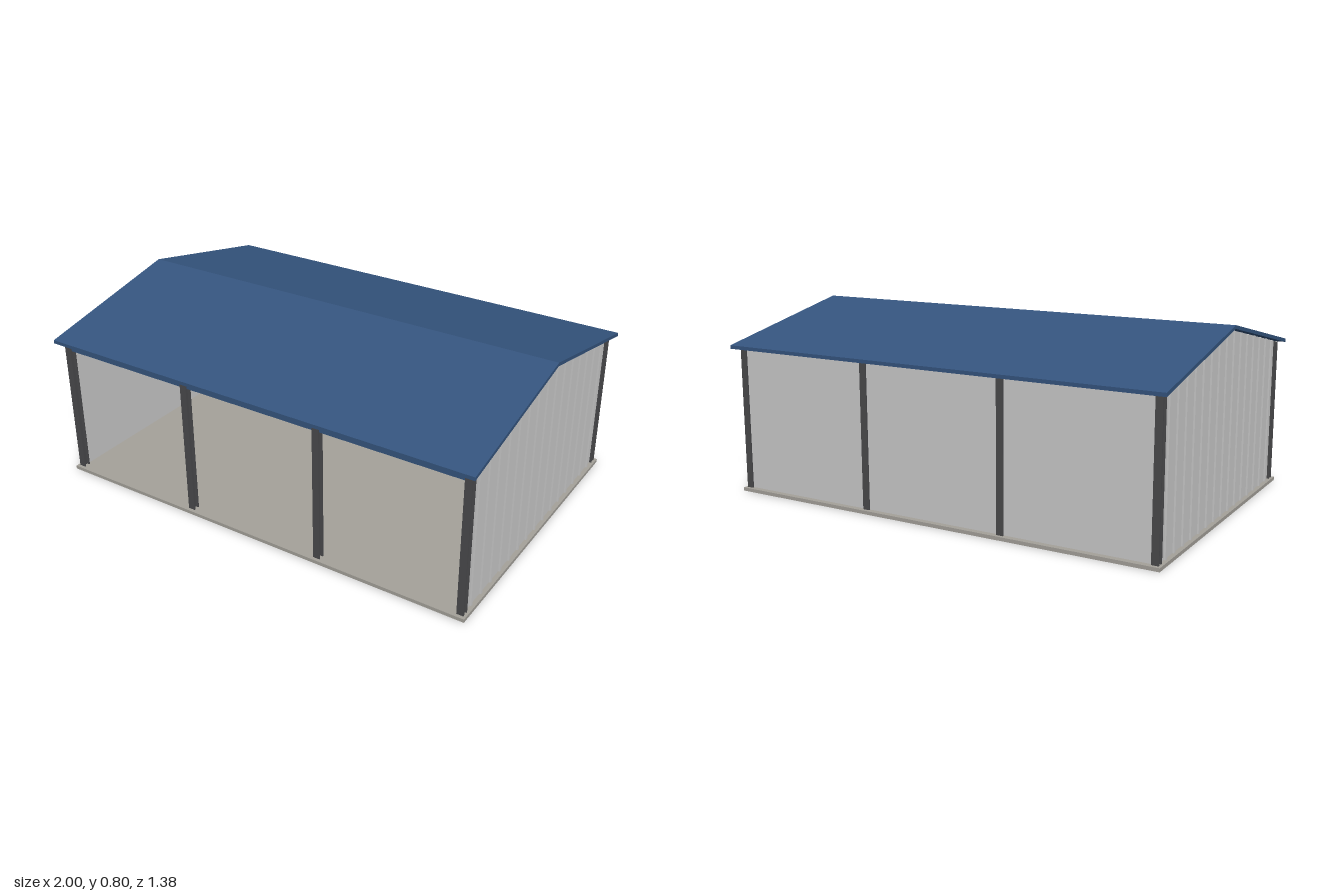
import * as THREE from 'three';

const mat = (color) => new THREE.MeshStandardMaterial({ color });
const grey = mat(0xcccccc), steel = mat(0x4a4a4c), blue = mat(0x35557f);
const concrete = mat(0xa5a29b), rust = mat(0x8a4030);

const FLOOR = 0.015, RIDGE = 0.78, EAVE = 0.635, ROOF_Z = 0.69, ROOF_T = 0.015;
// Height of the underside of the roof at a given depth
const roofY = (z) => RIDGE - (RIDGE - EAVE) * Math.abs(z) / ROOF_Z;

export function createModel() {
  const model = new THREE.Group();

  const add = (name, geometry, material, x, y, z, parent = model) => {
    const mesh = new THREE.Mesh(geometry, material);
    mesh.name = name;
    mesh.position.set(x, y, z);
    parent.add(mesh);
    return mesh;
  };
  const box = (name, w, h, d, material, x, y, z, parent) =>
    add(name, new THREE.BoxGeometry(w, h, d), material, x, y, z, parent);

  // Extrudes a (z, y) outline along x, centred on x = 0
  const extrudeX = (points, width) => {
    const shape = new THREE.Shape(points.map(([z, y]) => new THREE.Vector2(-z, y)));
    const geo = new THREE.ExtrudeGeometry(shape, { depth: width, bevelEnabled: false });
    return geo.translate(0, 0, -width / 2).rotateY(Math.PI / 2);
  };

  // Floor slab
  box('floorSlab', 1.97, FLOOR, 1.34, concrete, 0, FLOOR / 2, 0);

  // Pitched roof
  add('roof', extrudeX([
    [-ROOF_Z, EAVE], [0, RIDGE], [ROOF_Z, EAVE],
    [ROOF_Z, EAVE + ROOF_T], [0, RIDGE + ROOF_T], [-ROOF_Z, EAVE + ROOF_T],
  ], 2), blue, 0, 0, 0);

  // H-section columns along the front and the back
  const colH = 0.64 - FLOOR, colY = FLOOR + colH / 2;
  for (const z of [-0.64, 0.64]) {
    for (const x of [-0.96, -0.32, 0.32, 0.96]) {
      const column = new THREE.Group();
      column.name = z > 0 ? 'frontColumn' : 'backColumn';
      column.position.set(x, colY, z);
      for (const s of [-1, 1]) box('flange', 0.03, colH, 0.006, steel, 0, 0, s * 0.012, column);
      box('web', 0.008, colH, 0.02, steel, 0, 0, 0, column);
      model.add(column);
    }
  }

  // Beam over the open front
  box('frontBeam', 1.89, 0.04, 0.014, blue, 0, 0.615, 0.64);

  // Back wall
  box('backWall', 1.92, 0.625, 0.01, grey, 0, FLOOR + 0.3125, -0.64);

  // Gable walls with upright ribs
  const wallZ = 0.626, gap = 0.002;
  const gable = extrudeX([
    [-wallZ, FLOOR], [wallZ, FLOOR], [wallZ, roofY(wallZ) - gap],
    [0, RIDGE - gap], [-wallZ, roofY(wallZ) - gap],
  ], 0.01);
  const ribs = 15;
  for (const side of [-1, 1]) {
    const name = side > 0 ? 'leftWall' : 'rightWall';
    add(name, gable, grey, side * 0.96, 0, 0);
    for (let i = 0; i < ribs; i++) {
      const z = -0.58 + 1.16 * i / (ribs - 1);
      const h = roofY(Math.abs(z) + 0.006) - gap - FLOOR;
      box(name + 'Rib', 0.008, h, 0.012, grey, side * 0.968, FLOOR + h / 2, z);
    }
  }

  // Workbench at the back of the shed
  box('workbenchBody', 0.47, 0.078, 0.16, steel, -0.455, 0.061, -0.52);
  box('workbenchPlinth', 0.465, 0.008, 0.155, steel, -0.455, 0.018, -0.52);

  // Storage drums
  const drum = new THREE.CylinderGeometry(0.032, 0.032, 0.1, 24);
  [blue, rust, blue].forEach((material, i) => {
    add('drum', drum, material, 0.5 + i * 0.096, FLOOR + 0.05, -0.52);
  });

  return model;
}
